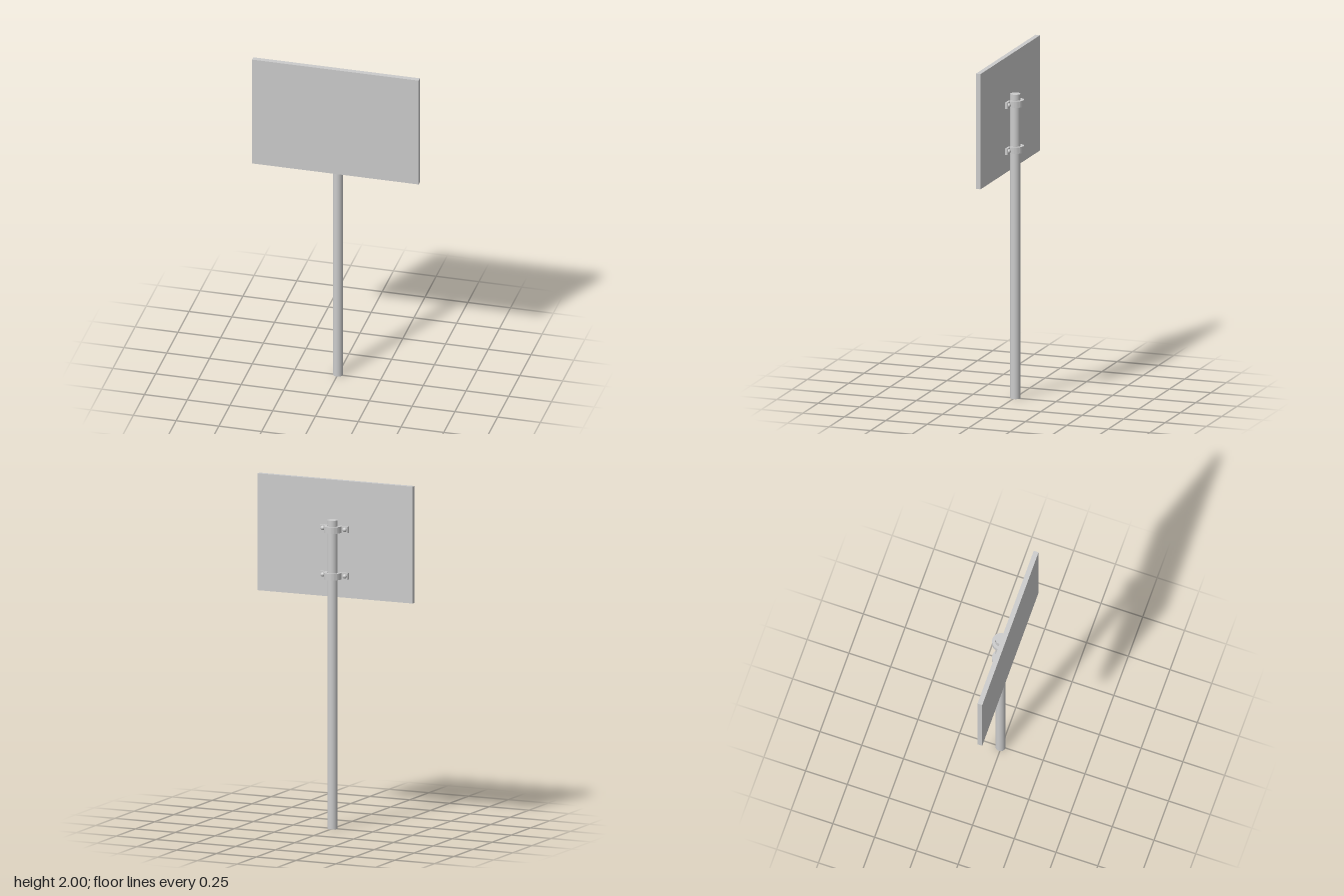
import * as THREE from 'three';
import { toCreasedNormals } from 'three/addons/utils/BufferGeometryUtils.js';

const material = new THREE.MeshStandardMaterial({ color: 0xcccccc });

function addPart(parent, name, geometry, x, y, z) {
  const mesh = new THREE.Mesh(geometry, material);
  mesh.name = name;
  mesh.position.set(x, y, z);
  parent.add(mesh);
  return mesh;
}

const PANEL_BACK = 0.025, PANEL_FRONT = 0.0535;
const CLAMP_Z = -0.0035, CLAMP_HEIGHT = 0.037;

// Saddle strap: arch around the pole with a flat foot on each side
function strapGeometry() {
  const outer = 0.05, inner = 0.032, foot = 0.0875;
  const base = CLAMP_Z - PANEL_BACK, footTop = base + 0.015;
  const s = new THREE.Shape();
  s.moveTo(foot, base);
  s.lineTo(foot, footTop);
  s.lineTo(outer, footTop);
  s.lineTo(outer, 0);
  s.absarc(0, 0, outer, 0, Math.PI, false);
  s.lineTo(-outer, footTop);
  s.lineTo(-foot, footTop);
  s.lineTo(-foot, base);
  s.lineTo(-inner, base);
  s.lineTo(-inner, 0);
  s.absarc(0, 0, inner, Math.PI, 0, true);
  s.lineTo(inner, base);
  s.closePath();
  const g = new THREE.ExtrudeGeometry(s, { depth: CLAMP_HEIGHT, bevelEnabled: false, curveSegments: 24 });
  g.translate(0, 0, -CLAMP_HEIGHT / 2);
  g.rotateX(-Math.PI / 2);
  return toCreasedNormals(g, 0.6);
}

function createClamp(y) {
  const clamp = new THREE.Group();
  clamp.name = 'clamp';
  clamp.position.y = y;
  addPart(clamp, 'strap', strapGeometry(), 0, 0, CLAMP_Z);
  // Domed bolt heads facing backwards
  const dome = new THREE.SphereGeometry(0.013, 16, 8, 0, Math.PI * 2, 0, Math.PI / 2);
  dome.rotateX(-Math.PI / 2);
  for (const side of [-1, 1]) addPart(clamp, 'boltHead', dome, side * 0.069, 0, PANEL_BACK - 0.015);
  return clamp;
}

export function createModel() {
  const model = new THREE.Group();
  model.name = 'signPost';

  addPart(model, 'pole', new THREE.CylinderGeometry(0.029, 0.029, 1.775, 32), 0, 0.8875, -0.005);

  const depth = PANEL_FRONT - PANEL_BACK;
  addPart(model, 'signPanel', new THREE.BoxGeometry(0.974, 0.672, depth), 0, 1.664, (PANEL_FRONT + PANEL_BACK) / 2);

  for (const y of [1.722, 1.454]) model.add(createClamp(y));
  return model;
}
